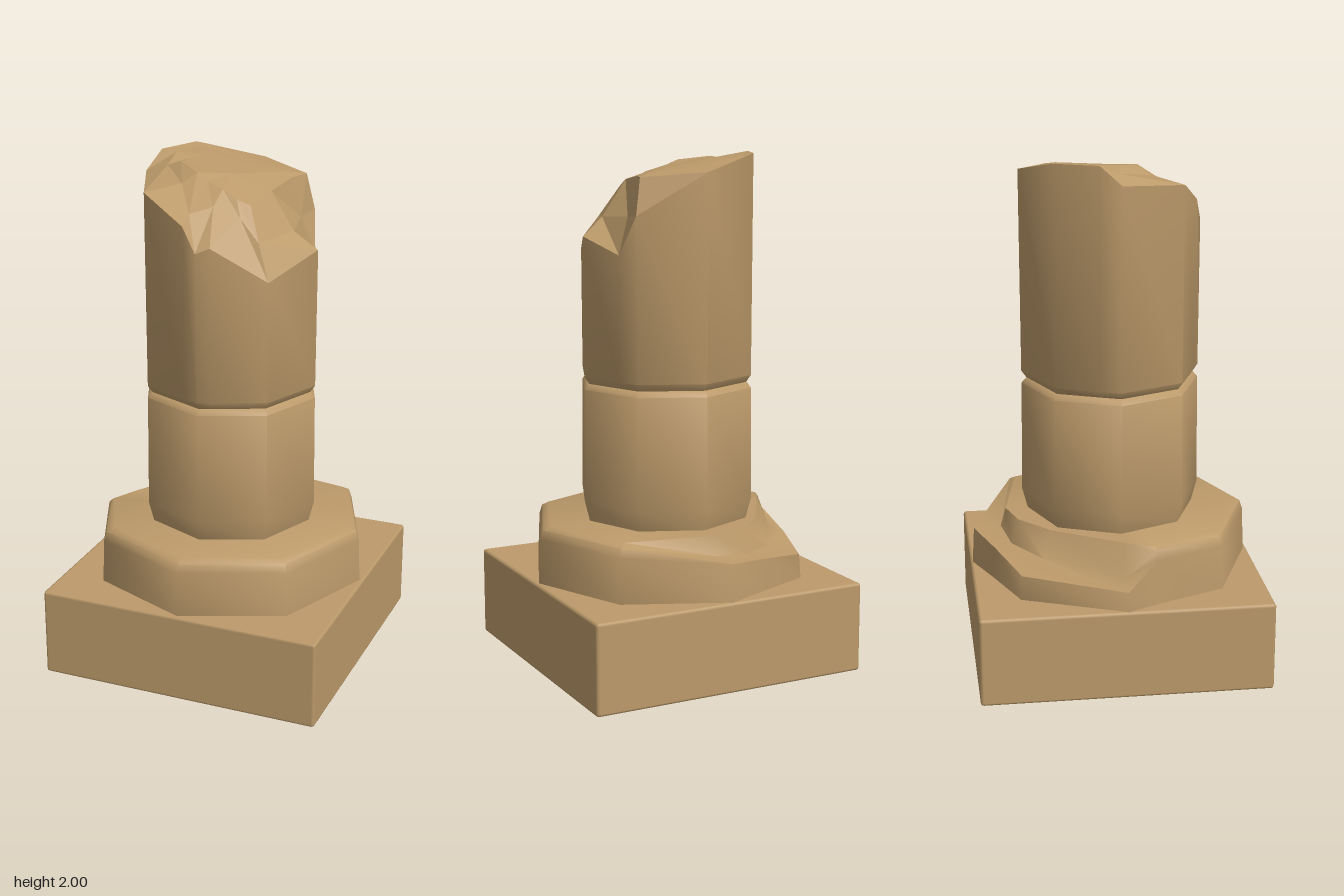
import * as THREE from 'three';
import { toCreasedNormals } from 'three/addons/utils/BufferGeometryUtils.js';
import { RoundedBoxGeometry } from 'three/addons/geometries/RoundedBoxGeometry.js';

const stone = new THREE.MeshStandardMaterial({ color: 0xbc9a6a });

// Skins a stack of closed loops (angle running from +x to +z), with an optional centre point on top.
function loft(rings, centre, crease) {
  const pos = [];
  const tri = (...points) => points.forEach((p) => pos.push(...p));
  const n = rings[0].length;
  for (let j = 0; j < n; j++) {
    const k = (j + 1) % n;
    for (let i = 0; i < rings.length - 1; i++) {
      const lo = rings[i], hi = rings[i + 1];
      tri(lo[j], hi[j], hi[k]);
      tri(lo[j], hi[k], lo[k]);
    }
    const last = rings[rings.length - 1];
    if (centre) tri(last[j], centre, last[k]);
  }
  const g = new THREE.BufferGeometry();
  g.setAttribute('position', new THREE.Float32BufferAttribute(pos, 3));
  g.computeVertexNormals();
  return crease ? toCreasedNormals(g, crease) : g;
}

// Regular octagon with corners on the axes
const corner = (i, r, y) => [r * Math.cos(i * Math.PI / 4), y, r * Math.sin(i * Math.PI / 4)];
const octagon = (r, y) => Array.from({ length: 8 }, (_, i) => corner(i, r, y));

// Plinth drum: each row is outer lip, foot of the bevel or chip, top edge
function plinthGeometry() {
  const sound = (i) => [corner(i, 0.542, 0.53), corner(i, 0.53, 0.565), corner(i, 0.5, 0.58)];
  const rows = [
    sound(0), sound(1), sound(2), sound(3),
    [[-0.495, 0.53, 0.115], [-0.49, 0.565, 0.115], [-0.475, 0.58, 0.11]],
    [[-0.55, 0.43, 0], [-0.48, 0.46, 0], [-0.42, 0.58, 0]],
    [[-0.388, 0.45, -0.388], [-0.3, 0.48, -0.3], [-0.262, 0.58, -0.262]],
    [[-0.17, 0.48, -0.475], [-0.15, 0.49, -0.41], [-0.13, 0.58, -0.38]],
    [[0, 0.5, -0.548], [0, 0.505, -0.44], [0, 0.58, -0.42]],
    sound(7),
  ];
  const foot = rows.map(([[x, , z]]) => [x * 1.015, 0.35, z * 1.015]);
  return loft([foot, ...[0, 1, 2].map((c) => rows.map((r) => r[c]))], [0, 0.58, 0], 0.9);
}

// Broken top: each row is rim, shoulder, crest
const breakRows = [
  [[0.35, 1.69, 0], [0.26, 1.76, 0.02], [0.165, 1.9, 0.01]],
  [[0.247, 1.62, 0.247], [0.19, 1.75, 0.2], [0.13, 1.87, 0.13]],
  [[0.05, 1.75, 0.33], [0.11, 1.83, 0.18], [0.08, 1.89, 0.14]],
  [[0, 1.73, 0.35], [0.01, 1.87, 0.2], [0.02, 1.92, 0.13]],
  [[-0.06, 1.82, 0.325], [-0.06, 1.85, 0.26], [-0.05, 1.94, 0.11]],
  [[-0.247, 1.91, 0.247], [-0.14, 1.93, 0.14], [-0.1, 1.965, 0.09]],
  [[-0.35, 1.93, 0], [-0.26, 1.96, 0], [-0.2, 1.98, 0.01]],
  [[-0.318, 2, -0.078], [-0.26, 1.992, -0.08], [-0.18, 1.98, -0.08]],
  [[-0.247, 2, -0.247], [-0.21, 1.99, -0.23], [-0.14, 1.98, -0.15]],
  [[0, 1.94, -0.35], [0, 1.955, -0.22], [0, 1.957, -0.14]],
  [[0.247, 1.78, -0.247], [0.22, 1.92, -0.225], [0.18, 1.93, -0.19]],
  [[0.28, 1.63, -0.168], [0.23, 1.77, -0.14], [0.19, 1.92, -0.14]],
];

export function createModel() {
  const model = new THREE.Group();
  const add = (name, geometry) => {
    const mesh = new THREE.Mesh(geometry, stone);
    mesh.name = name;
    model.add(mesh);
    return mesh;
  };

  // Square base block
  add('baseBlock', new RoundedBoxGeometry(1.13, 0.355, 1.13, 1, 0.012)).position.y = 0.1775;

  // Chipped octagonal plinth
  add('plinth', plinthGeometry());

  // Lower shaft drum, pinched at both joints
  const lower = [[0.33, 0.575], [0.352, 0.66], [0.348, 1.1], [0.328, 1.122]];
  add('lowerDrum', loft(lower.map(([r, y]) => octagon(r, y)), [0, 1.122, 0], 0.9));

  // Upper shaft drum, its wall ending at the jagged rim
  const [rim, shoulder, crest] = [0, 1, 2].map((c) => breakRows.map((r) => r[c]));
  const wallRing = (s, y) => rim.map(([x, , z]) => [x * s, y, z * s]);
  add('upperDrum', loft([wallRing(0.94, 1.122), wallRing(0.995, 1.15), rim], null, 0.9));

  // Fractured stone surface
  add('brokenTop', loft([rim, shoulder, crest], [0, 1.95, 0]));

  return model;
}
